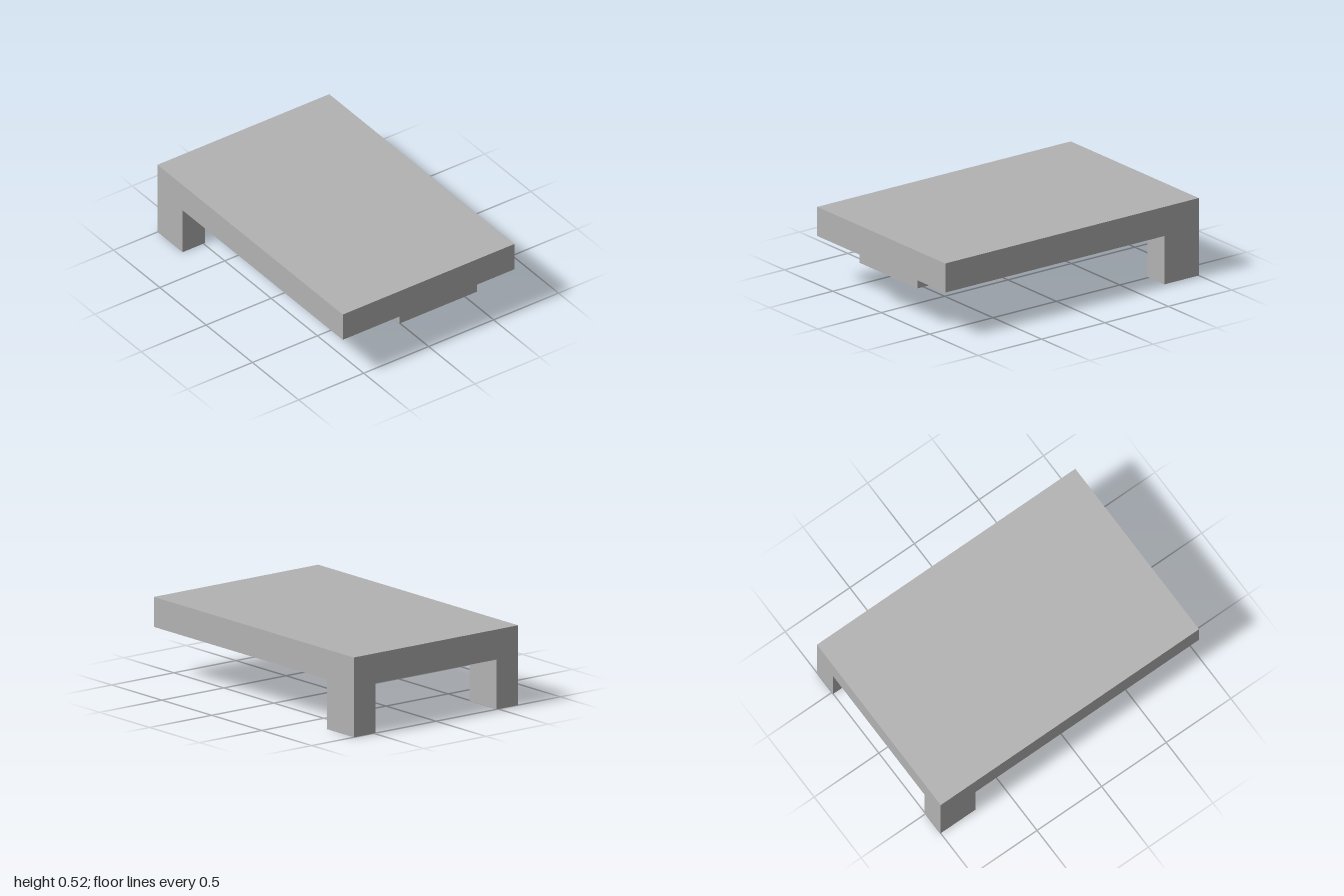
import * as THREE from 'three';

const grey = new THREE.MeshStandardMaterial({ color: 0xb3b3b3 });
grey.name = 'plain grey';

// Box given by its lower and upper limits on each axis
function block(name, [x0, x1], [y0, y1], [z0, z1]) {
  const mesh = new THREE.Mesh(new THREE.BoxGeometry(x1 - x0, y1 - y0, z1 - z0), grey);
  mesh.position.set((x0 + x1) / 2, (y0 + y1) / 2, (z0 + z1) / 2);
  mesh.name = name;
  return mesh;
}

export function createModel() {
  const model = new THREE.Group();
  model.name = 'platform';

  const halfWidth = 0.661, underside = 0.322, top = 0.516;

  // Flat top slab
  model.add(block('topSlab', [-halfWidth, halfWidth], [underside, top], [-1, 1]));

  // Off-centre raised panel under the slab, flush with the front
  model.add(block('undersidePanel', [-0.226, 0.374], [0.268, underside], [-0.54, 1]));

  // Two legs at the back corners
  model.add(block('leftBackLeg', [0.487, halfWidth], [0, underside], [-1, -0.73]));
  model.add(block('rightBackLeg', [-halfWidth, -0.487], [0, underside], [-1, -0.73]));

  return model;
}
